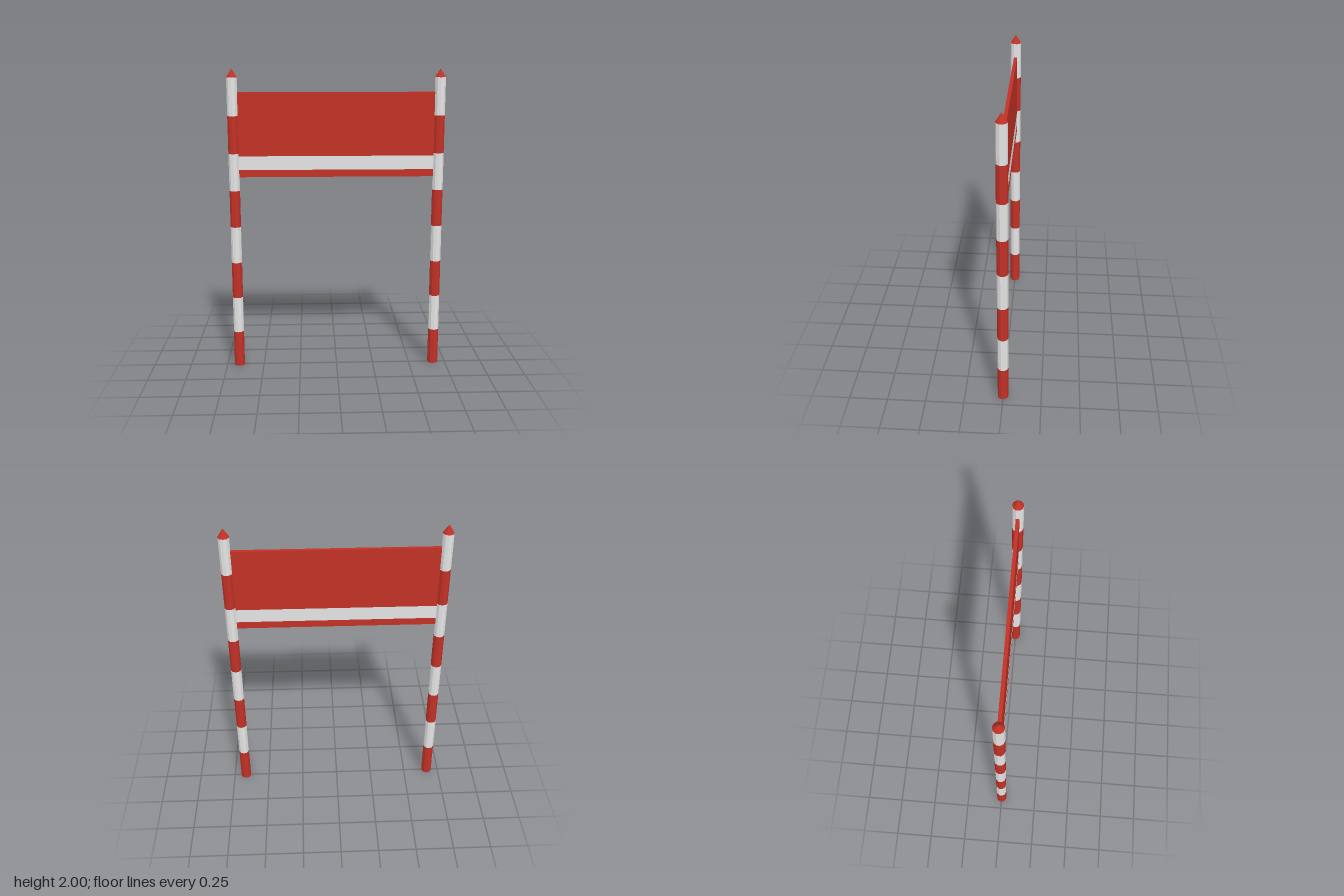
import * as THREE from 'three';

export function createModel() {
  const model = new THREE.Group();
  const red = new THREE.MeshStandardMaterial({ color: 0xc23126 });
  red.name = 'red';
  const white = new THREE.MeshStandardMaterial({ color: 0xe4e4e4 });
  white.name = 'white';
  red.flatShading = white.flatShading = true;

  const sides = 10, radius = 0.035, poleX = 0.667, poleTop = 1.945;

  function add(parent, name, geometry, material, y) {
    const mesh = new THREE.Mesh(geometry, material);
    mesh.name = name;
    mesh.position.y = y;
    parent.add(mesh);
  }

  // Pole: eight alternating bands, closed at the foot, with a pointed cap
  function pole(name, x) {
    const group = new THREE.Group();
    group.name = name;
    group.position.x = x;
    const bands = 8, h = poleTop / bands;
    for (let i = 0; i < bands; i++) {
      const geometry = new THREE.CylinderGeometry(radius, radius, h, sides, 1, i > 0);
      add(group, 'poleBand' + (i + 1), geometry, i % 2 ? white : red, (i + 0.5) * h);
    }
    const tip = 2 - poleTop;
    add(group, 'poleTip', new THREE.ConeGeometry(radius, tip, sides), red, poleTop + tip / 2);
    model.add(group);
  }
  pole('leftPole', poleX);
  pole('rightPole', -poleX);

  // Banner: three stacked strips between the poles
  const banner = new THREE.Group();
  banner.name = 'banner';
  const strips = [
    ['bannerHem', 1.305, 1.352, red],
    ['bannerStripe', 1.352, 1.442, white],
    ['bannerPanel', 1.442, 1.852, red],
  ];
  for (const [name, low, high, material] of strips) {
    add(banner, name, new THREE.BoxGeometry(poleX * 2 - 0.04, high - low, 0.022), material, (low + high) / 2);
  }
  model.add(banner);

  return model;
}
